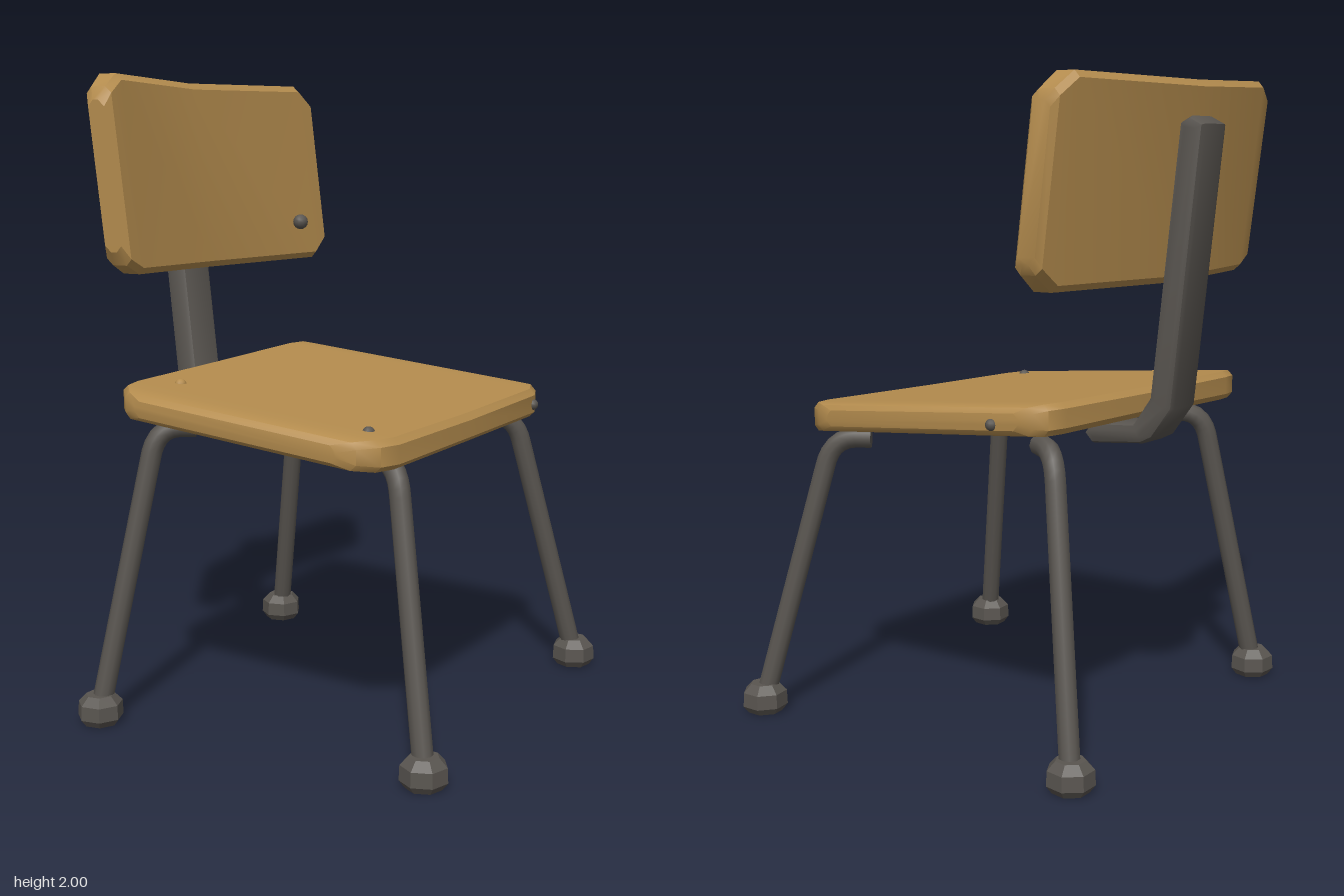
import * as THREE from 'three';
import { toCreasedNormals } from 'three/addons/utils/BufferGeometryUtils.js';

// Chamfered eight-point cross-section, counter-clockwise in x and y
function slabRing(x0, x1, y0, y1, z, b) {
  return [[x1, y0 + b], [x1, y1 - b], [x1 - b, y1], [x0 + b, y1],
    [x0, y1 - b], [x0, y0 + b], [x0 + b, y0], [x1 - b, y0]].map(([x, y]) => [x, y, z]);
}

// Skin a row of rings running toward +z, close both ends, then bend the points
function loft(rings, bend, crease) {
  const pos = [], idx = [], n = rings[0].length, last = (rings.length - 1) * n;
  rings.forEach((ring) => ring.forEach((p) => pos.push(...bend(...p))));
  for (let i = 0; i < last; i += n) {
    for (let j = 0; j < n; j++) {
      const k = (j + 1) % n;
      idx.push(i + j, i + k, i + n + k, i + j, i + n + k, i + n + j);
    }
  }
  for (let j = 1; j < n - 1; j++) {
    idx.push(0, j + 1, j, last, last + j, last + j + 1);
  }
  const g = new THREE.BufferGeometry();
  g.setAttribute('position', new THREE.Float32BufferAttribute(pos, 3));
  g.setIndex(idx);
  return toCreasedNormals(g, crease);
}

export function createModel() {
  const group = new THREE.Group();
  const wood = new THREE.MeshStandardMaterial({ color: 0xb48c4e });
  wood.name = 'wood';
  const metal = new THREE.MeshStandardMaterial({ color: 0x595550 });
  metal.name = 'dark metal';
  const add = (name, geometry, material, parent = group) => {
    const mesh = new THREE.Mesh(geometry, material);
    mesh.name = name;
    parent.add(mesh);
    return mesh;
  };

  // Seat: tilted slab with rounded corners; stations are z, back x, front x, half thickness
  const seatStations = [
    [-0.545, -0.37, 0.40, 0.025], [-0.53, -0.41, 0.45, 0.04], [-0.5, -0.445, 0.5, 0.046],
    [-0.43, -0.46, 0.526, 0.046], [0.04, -0.46, 0.516, 0.044], [0.48, -0.455, 0.497, 0.046],
    [0.55, -0.44, 0.475, 0.046], [0.605, -0.39, 0.425, 0.04], [0.625, -0.34, 0.37, 0.025],
  ];
  add('seat', loft(
    seatStations.map(([z, x0, x1, h]) => slabRing(x0, x1, -h, h, z, 0.018)),
    (x, y, z) => [x, y + 0.988 - 0.09 * x - 0.015 * z, z + 0.045 * x], 0.7), wood);

  // Backrest: leaning slab folded forward at both ends; stations are z, bottom, top, half thickness
  const backStations = [
    [-0.58, 1.47, 1.91, 0.03], [-0.565, 1.44, 1.94, 0.046], [-0.5, 1.39, 1.99, 0.05],
    [0.04, 1.39, 1.985, 0.05],
    [0.49, 1.4, 2.0, 0.05], [0.55, 1.43, 1.96, 0.046], [0.575, 1.47, 1.92, 0.03],
  ];
  add('backrest', loft(
    backStations.map(([z, y0, y1, h]) => slabRing(-h, h, y0, y1, z, 0.02)),
    (x, y, z) => [
      x - 0.48 - 0.125 * (y - 1.4) + (z < 0.04 ? 0.13 : 0.11) * Math.abs(z - 0.04), y, z,
    ], 0.5), wood);

  // Back support: a flat bent bar running under the seat
  const bar = new THREE.Shape([
    [-0.675, 1.855], [-0.57, 1.02], [-0.5, 0.925], [-0.46, 0.905], [-0.28, 0.888],
    [-0.25, 0.92], [-0.28, 0.955], [-0.43, 0.965], [-0.49, 1.05], [-0.595, 1.86], [-0.63, 1.878],
  ].map(([x, y]) => new THREE.Vector2(x, y)));
  const barGeometry = new THREE.ExtrudeGeometry(bar, {
    depth: 0.106, bevelThickness: 0.022, bevelSize: 0.022, bevelOffset: -0.022, bevelSegments: 2,
  }).translate(0, 0, -0.053);
  const bp = barGeometry.attributes.position;
  for (let i = 0; i < bp.count; i++) {
    bp.setZ(i, bp.getZ(i) - 0.028 * (bp.getY(i) - 1));
  }
  add('backSupport', toCreasedNormals(barGeometry, 0.7), metal);

  // Legs: splayed tubes bent inward below the seat; foot, knee and inner end
  const legs = [
    ['frontLeftLeg', [0.598, -0.63], [0.43, 0.89, -0.47], [0.33, 0.888, -0.4]],
    ['frontRightLeg', [0.612, 0.562], [0.45, 0.89, 0.425], [0.345, 0.888, 0.365]],
    ['backLeftLeg', [-0.562, -0.575], [-0.395, 0.93, -0.425], [-0.3, 0.93, -0.365]],
    ['backRightLeg', [-0.485, 0.625], [-0.365, 0.93, 0.465], [-0.27, 0.925, 0.39]],
  ];
  const footProfile = [[0, 0.003], [0.055, 0.003], [0.072, 0.025], [0.07, 0.07], [0.045, 0.096], [0, 0.096]]
    .map(([r, y]) => new THREE.Vector2(r, y));
  const footGeometry = toCreasedNormals(new THREE.LatheGeometry(footProfile, 7), 0.2);

  legs.forEach(([name, [fx, fz], knee, end], i) => {
    const leg = new THREE.Group();
    leg.name = name;
    group.add(leg);
    const foot = new THREE.Vector3(fx, 0.04, fz);
    const k = new THREE.Vector3(...knee);
    const e = new THREE.Vector3(...end);
    const bendStart = k.clone().lerp(foot, 0.1);
    const bendEnd = k.clone().lerp(e, 0.65);
    const path = new THREE.CurvePath();
    path.add(new THREE.LineCurve3(foot, bendStart));
    path.add(new THREE.QuadraticBezierCurve3(bendStart, k, bendEnd));
    path.add(new THREE.LineCurve3(bendEnd, e));
    add('legTube', new THREE.TubeGeometry(path, 40, 0.032, 10), metal, leg);

    // Closed inner end of the tube
    const cap = add('tubeEnd', new THREE.CircleGeometry(0.032, 10), metal, leg);
    cap.position.copy(e);
    cap.lookAt(e.clone().multiplyScalar(2).sub(bendEnd));

    const shoe = add('foot', footGeometry, metal, leg);
    shoe.position.set(fx, 0, fz);
    shoe.rotation.y = i * 0.8;
  });

  // Small round studs on the seat and backrest
  const studs = [
    [-0.365, 1.52, -0.4, 0.026, metal], [0.39, 0.985, 0.487, 0.019, metal],
    [0.523, 0.945, -0.4, 0.018, metal], [-0.27, 1.012, -0.555, 0.018, metal],
    [-0.33, 1.052, 0.385, 0.019, wood],
  ];
  studs.forEach(([x, y, z, r, material]) => {
    add('stud', new THREE.SphereGeometry(r, 10, 8), material).position.set(x, y, z);
  });

  return group;
}
